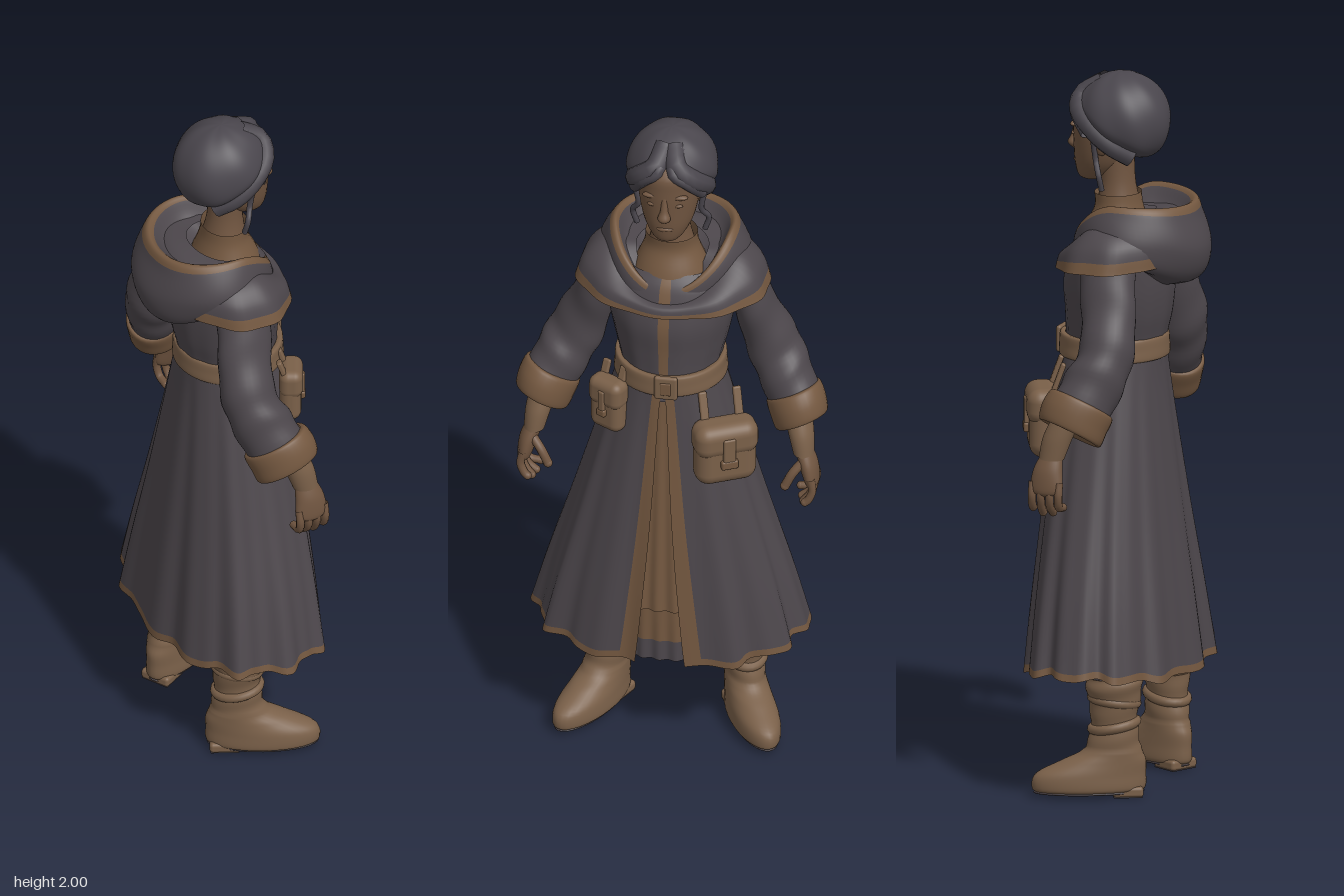
import * as THREE from 'three';
import { RoundedBoxGeometry } from 'three/addons/geometries/RoundedBoxGeometry.js';

const paint = (name, color) => {
  const m = new THREE.MeshStandardMaterial({ color, side: THREE.DoubleSide });
  m.name = name;
  return m;
};

export function createModel() {
  const model = new THREE.Group();
  model.name = 'cloakedTraveller';
  const cloth = paint('charcoal cloth', 0x4d474c);
  const trim = paint('brown trim', 0x745840);
  const leather = paint('brown leather', 0x7a6049);
  const skin = paint('tan skin', 0x705540);
  const hair = paint('dark hair', 0x4a464d);
  const shade = paint('dark sole', 0x4a4145);

  const add = (name, geo, mat, parent = model) => {
    const m = new THREE.Mesh(geo, mat);
    m.name = name;
    parent.add(m);
    return m;
  };

  // Grid surface: f(u, v) gives a point; pick(u, v) gives a material index
  function surface(name, nu, nv, f, mats, { closed = true, pick, parent } = {}) {
    const cols = closed ? nu : nu + 1, pos = [], lists = [[], []];
    for (let j = 0; j <= nv; j++)
      for (let i = 0; i < cols; i++) pos.push(...f(i / nu, j / nv));
    for (let j = 0; j < nv; j++)
      for (let i = 0; i < nu; i++) {
        const a = j * cols + i, b = j * cols + (i + 1) % cols, c = a + cols, d = b + cols;
        lists[pick ? pick((i + 0.5) / nu, (j + 0.5) / nv) : 0].push(a, b, c, b, d, c);
      }
    const g = new THREE.BufferGeometry();
    g.setAttribute('position', new THREE.Float32BufferAttribute(pos, 3));
    g.setIndex([...lists[0], ...lists[1]]);
    g.computeVertexNormals();
    if (pick) {
      g.addGroup(0, lists[0].length, 0);
      g.addGroup(lists[0].length, lists[1].length, 1);
    }
    return add(name, g, mats, parent);
  }

  // Smooth interpolation through rings [x, y, z, rx, rz, tiltX, tiltZ]
  function ringAt(rings, v) {
    const n = rings.length - 1, i = Math.min(Math.floor(v * n), n - 1), t = v * n - i;
    const r = k => rings[Math.max(0, Math.min(n, k))];
    return [0, 1, 2, 3, 4, 5, 6].map(k => {
      const [a, b, c, d] = [r(i - 1), r(i), r(i + 1), r(i + 2)].map(q => q[k] || 0);
      return b + 0.5 * t * (c - a + t * (2 * a - 5 * b + 4 * c - d + t * (3 * (b - c) + d - a)));
    });
  }
  // Rings joined into a skin; arc(v) limits the angles covered, where 0 is the front
  function loft(name, rings, mats, o = {}) {
    const { nu = 32, nv = rings.length * 4, fold = () => 1, warp = p => p, side = 1, power = 1 } = o;
    const pw = c => Math.sign(c) * Math.abs(c) ** power;
    return surface(name, nu, nv, (u, v) => {
      const [x, y, z, rx, rz, tx, tz] = ringAt(rings, v);
      const [t0, t1] = o.arc ? o.arc(v) : [0, 2 * Math.PI];
      const t = t0 + u * (t1 - t0), k = fold(t, v);
      const dx = Math.max(rx, 0) * k * pw(Math.cos(t)), dz = Math.max(rz, 0) * k * pw(Math.sin(t));
      return warp([x + dx, y + tx * dx + tz * dz, (z + dz) * side], t, v);
    }, mats, { closed: !o.arc, pick: o.pick, parent: o.parent });
  }
  const tube = (name, pts, r, mat, parent) => add(name, new THREE.TubeGeometry(
    new THREE.CatmullRomCurve3(pts.map(p => new THREE.Vector3(...p))), 16, r, 10), mat, parent);
  const ball = (name, p, s, mat, parent) => {
    const m = add(name, new THREE.SphereGeometry(1, 20, 14), mat, parent);
    m.position.set(...p);
    m.scale.set(...s);
    return m;
  };
  const block = (name, size, p, mat, parent, r = 0.01) => {
    const m = add(name, new RoundedBoxGeometry(...size, 4, r), mat, parent);
    m.position.set(...p);
    return m;
  };
  const front = t => Math.max(0, Math.cos(t)) ** 2, back = t => Math.max(0, -Math.cos(t)) ** 2;

  // Head, face and neck
  loft('head', [[.085, 1.69, 0, 0, 0], [.085, 1.695, 0, .04, .035], [.065, 1.735, 0, .073, .064],
    [.055, 1.79, 0, .086, .08], [.05, 1.86, 0, .092, .088], [.04, 1.92, 0, .092, .085], [.03, 1.97, 0, .02, .02]], skin);
  loft('nose', [[.135, 1.85, 0, .008, .008], [.143, 1.81, 0, .01, .011], [.145, 1.785, 0, .018, .018],
    [.138, 1.768, 0, .004, .004]], skin, { nu: 16 });
  ball('mouth', [.133, 1.743, 0], [.01, .008, .024], skin);
  loft('neck', [[.02, 1.77, 0, .05, .052], [.015, 1.68, 0, .05, .052], [.01, 1.58, 0, .07, .075]], skin);
  for (const s of [1, -1]) {
    ball('eye', [.13, 1.823, s * .035], [.007, .006, .015], skin);
    ball('brow', [.126, 1.85, s * .037], [.012, .008, .027], skin);
    ball('ear', [.03, 1.805, s * .084], [.02, .03, .012], skin);
  }

  // Hair: wavy cap, swept side rolls and loose locks
  surface('hairCap', 72, 28, (u, v) => {
    const t = u * 2 * Math.PI, c = Math.cos(t);
    const th = v * (112 - 42 * c) * Math.PI / 180;
    const tuck = 1 - 0.14 * Math.max(0, (v - 0.8) / 0.2) ** 2;
    const k = tuck * (1 + .012 * Math.sin(7 * t + 6 * v) * Math.sin(th) - .02 * Math.sin(th) * Math.max(0, c) ** 30);
    return [.003 + .136 * k * Math.sin(th) * c, 1.865 + .134 * k * Math.cos(th), .127 * k * Math.sin(th) * Math.sin(t)];
  }, hair);
  for (const s of [1, -1]) {
    tube('hairRoll', [[.05, 1.965, s * .012], [.105, 1.93, s * .03], [.098, 1.895, s * .068], [.055, 1.855, s * .092], [0, 1.81, s * .09], [-.05, 1.775, s * .06]], .031, hair);
    tube('foreheadWave', [[.06, 1.965, s * .03], [.12, 1.925, s * .02], [.115, 1.89, s * .06], [.07, 1.835, s * .093]], .018, hair);
    tube('hairLock', [[.05, 1.83, s * .1], [.045, 1.76, s * .088], [.03, 1.725, s * .106], [.025, 1.68, s * .095]], .008, hair);
  }

  // Shirt collar and chest
  loft('shirtCollar', [[.015, 1.66, 0, .064, .072], [.012, 1.62, 0, .066, .076], [.015, 1.56, 0, .09, .1], [.01, 1.48, 0, .12, .13]], trim);

  // Coat bodice with front placket
  loft('bodice', [[0, 1.56, 0, .1, .13], [0, 1.52, 0, .13, .18], [.01, 1.42, 0, .15, .175], [.012, 1.33, 0, .146, .158],
    [.02, 1.25, 0, .138, .14], [.025, 1.18, 0, .142, .145]], [cloth, trim],
  { nu: 72, fold: (t, v) => 1 + .012 * Math.sin(14 * t) * v, pick: (u, v) => (u < .014 || u > .986) && v < .85 ? 1 : 0 });

  // Shoulder cape and folded-down hood
  loft('shoulderCape', [[0, 1.6, 0, .09, .1], [-.01, 1.595, 0, .135, .19], [-.015, 1.55, 0, .18, .245], [-.01, 1.48, 0, .187, .27]],
    [cloth, trim], {
      nu: 72, nv: 24, fold: (t, v) => 1 + .015 * v * Math.sin(10 * t + 1), pick: (u, v) => v > .83 ? 1 : 0,
      warp: ([x, y, z], t, v) => [x - .012 * front(t) * v, y - front(t) * (.13 * (1 - v) + .02) + .015 * back(t), z],
    });
  loft('hood', [[0, 1.57, 0, .075, .085], [-.03, 1.605, 0, .12, .13], [-.04, 1.655, 0, .16, .163], [-.045, 1.625, 0, .178, .19],
    [-.058, 1.56, 0, .188, .21], [-.05, 1.5, 0, .168, .195], [-.03, 1.5, 0, .1, .12]], [cloth, trim], {
    nu: 72, nv: 36, fold: (t, v) => 1 + .025 * Math.sin(4 * t + 11 * v) * v, pick: (u, v) => v > .27 && v < .44 ? 1 : 0,
    warp: ([x, y, z], t, v) => [x, y - .13 * front(t) - .095 * back(t) * v * v, z],
  });

  // Split skirt with trimmed edges
  loft('coatSkirt', [[.025, 1.22, 0, .14, .145], [.025, 1.1, 0, .15, .178], [.02, .8, 0, .18, .26], [.012, .55, 0, .205, .33],
    [.005, .36, 0, .222, .376]], [cloth, trim], {
    nu: 140, nv: 48, power: .88, arc: v => [.02 + .13 * v, 2 * Math.PI - .02 - .13 * v],
    fold: (t, v) => 1 + v * (.035 * Math.cos(12 * t + .6 * Math.sin(2 * t)) + .016 * Math.sin(21 * t)),
    warp: ([x, y, z], t, v) => [x, y - v * (.035 * front(t) + .03 * back(t) + .005 * Math.cos(12 * t)), z],
    pick: (u, v) => v > .955 || u < .018 || u > .982 ? 1 : 0,
  });

  // Inner front panel and the shorter layer behind it
  const pleats = (t, v) => 1 + .025 * v * Math.sin(34 * t);
  loft('frontPanel', [[.025, 1.2, 0, .135, .135], [.02, .85, 0, .158, .2], [.01, .49, 0, .188, .27]], trim,
    { nu: 40, fold: pleats, arc: () => [-.45, .45] });
  loft('lowerPanel', [[.01, .62, 0, .15, .22], [.005, .45, 0, .158, .24], [0, .3, 0, .162, .25]], [trim, cloth],
    { nu: 40, fold: pleats, arc: () => [-.4, .4], pick: (u, v) => v > .72 ? 1 : 0 });

  // Belt and buckle
  loft('belt', [[.025, 1.205, 0, .14, .143], [.025, 1.206, 0, .152, .157], [.025, 1.235, 0, .152, .155], [.025, 1.264, 0, .149, .153],
    [.025, 1.265, 0, .135, .138]], leather, { nu: 48 });
  block('buckle', [.016, .075, .065], [.176, 1.235, -.01], leather);
  block('buckleCentre', [.008, .04, .03], [.184, 1.235, -.01], trim, model, .003);

  // Belt pouches: body, flap, strap, clasp and hangers
  function pouch(name, w, h, d, p, turn, hang) {
    const g = new THREE.Group();
    g.name = name;
    g.position.set(...p);
    g.rotation.y = Math.PI / 2 + turn;
    model.add(g);
    block('pouchBody', [w, h * .9, d], [0, -h * .05, 0], leather, g, d * .45);
    block('pouchFlap', [w * 1.04, h * .52, d * 1.1], [0, h * .24, .002], leather, g, d * .42);
    block('pouchStrap', [w * .2, h * .5, .014], [0, h * .08, d * .55], leather, g, .005);
    block('pouchClasp', [w * .28, h * .14, .018], [0, -h * .1, d * .55], trim, g, .006);
    for (const s of [1, -1]) {
      const strap = block('pouchHanger', [.024, hang, .014], [s * w * .28, h * .46 + hang * .3, -d * .4], leather, g, .005);
      strap.rotation.x = -.35;
    }
  }
  pouch('largePouch', .175, .195, .088, [.165, 1.04, -.172], .45, .1);
  pouch('smallPouch', .105, .165, .06, [.135, 1.14, .155], -.5, .05);

  for (const s of [1, -1]) {
    // Sleeve and turned-back cuff
    loft('sleeve', [[-.015, 1.56, .11, .05, .04, 0, -.2], [-.025, 1.51, .175, .078, .06], [-.045, 1.4, .22, .078, .056, 0, .2], [-.06, 1.27, .265, .076, .07, 0, .4],
      [-.035, 1.18, .308, .08, .07, .2, .5], [0, 1.09, .35, .076, .066, .35, .5]], cloth,
    { side: s, nv: 36, fold: (t, v) => 1 + .03 * Math.sin(34 * v + 2 * Math.sin(t)) });
    loft('cuff', [[-.014, 1.135, .333, .074, .06, .35, .5], [-.013, 1.13, .335, .087, .074, .35, .5], [.002, 1.095, .35, .09, .076, .35, .5],
      [.012, 1.055, .362, .084, .07, .35, .5], [.012, 1.065, .36, .056, .05, .35, .5]], trim, { side: s });
    // Wrist, palm, fingers and thumb
    loft('wristWrap', [[.02, 1.1, .35, .042, .038], [.045, 1.04, .365, .042, .036], [.06, .98, .375, .036, .029]], leather, { side: s });
    loft('palm', [[.058, .995, .374, .03, .023], [.065, .95, .389, .042, .026], [.065, .895, .4, .045, .02], [.065, .88, .4, .01, .01]], skin, { side: s });
    for (let i = 0; i < 4; i++) {
      const x = .027 + i * .026, low = .822 + Math.abs(i - 1.5) * .014, z = s * (.362 + i * .008);
      tube('finger', [[x, .92, s * .4], [x, .88, s * .406], [x + .003, .85, s * .394], [x + .004, low, z]], .0115, skin);
      ball('fingertip', [x + .004, low, z], [.0115, .0115, .0115], skin);
    }
    tube('thumb', [[.085, .96, s * .375], [.1, .93, s * .35], [.105, .89, s * .33]], .013, skin);
    ball('thumbTip', [.105, .89, s * .33], [.013, .013, .013], skin);

    // Trouser leg
    loft('trouserLeg', [[0, .75, .11, .1, .1], [-.02, .55, .16, .095, .09], [-.045, .38, .185, .076, .07], [-.05, .28, .19, .065, .06]], cloth, { side: s });

    // Boot, turned outward, with slouched folds
    const boot = new THREE.Group();
    boot.name = 'boot';
    boot.position.set(-.052, 0, s * .192);
    boot.rotation.y = -s * .48;
    model.add(boot);
    loft('bootShaft', [[0, .325, 0, .06, .05], [0, .335, 0, .074, .064], [0, .3, 0, .077, .066], [0, .24, 0, .066, .055], [0, .18, 0, .067, .053],
      [.005, .13, 0, .082, .055], [.03, .1, 0, .118, .058], [.065, .065, 0, .153, .063], [.07, .025, 0, .157, .064], [.07, .015, 0, .14, .05]], leather,
    { nv: 54, parent: boot, fold: (t, v) => 1 + (v < .55 ? .035 * Math.sin(45 * v + 1.5 * Math.sin(t + s)) : 0) });
    loft('bootSole', [[.07, .02, 0, .145, .054], [.07, .011, 0, .143, .053], [.07, .01, 0, 0, 0]], shade, { parent: boot });
    block('bootHeel', [.085, .03, .09], [-.035, .016, 0], leather, boot);
    block('heelTread', [.08, .004, .085], [-.035, .002, 0], shade, boot, .002);
    for (const [y, tilt] of [[.2, .18], [.27, -.15]]) {
      const crease = add('bootFold', new THREE.TorusGeometry(.062, .014, 10, 28), leather, boot);
      crease.position.y = y;
      crease.rotation.set(Math.PI / 2, s * tilt, 0);
      crease.scale.y = .84;
    }
  }
  return model;
}
